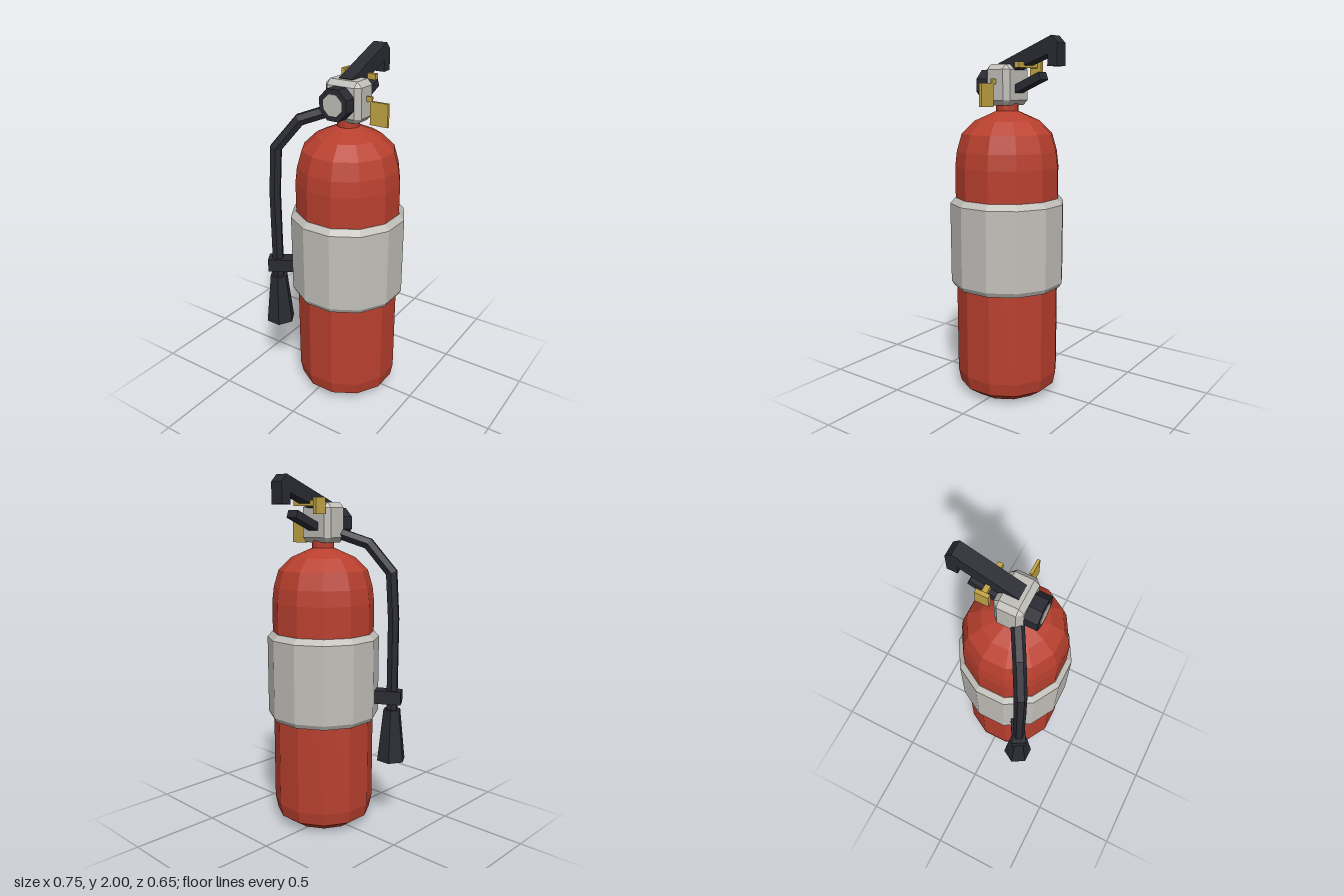
import * as THREE from 'three';
import { ConvexGeometry } from 'three/addons/geometries/ConvexGeometry.js';

const CX = 0.06, CZ = 0.016; // axis of the cylinder

const material = (name, color) => {
  const m = new THREE.MeshStandardMaterial({ color, flatShading: true });
  m.name = name;
  return m;
};

// Twelve-sided lathe; radii are measured to the flats
function lathe12(profile) {
  const k = 1 / Math.cos(Math.PI / 12);
  const g = new THREE.LatheGeometry(profile.map(([r, y]) => new THREE.Vector2(r * k, y)), 12);
  return g.rotateY(Math.PI / 12);
}

// Box given by its two extremes
function box(x0, x1, y0, y1, z0, z1) {
  return new THREE.BoxGeometry(x1 - x0, y1 - y0, z1 - z0)
    .translate((x0 + x1) / 2, (y0 + y1) / 2, (z0 + z1) / 2);
}

// Box with every edge cut by c
function chamferBox(w, h, d, c) {
  const pts = [];
  for (const x of [-1, 1]) for (const y of [-1, 1]) for (const z of [-1, 1]) {
    const a = x * w / 2, b = y * h / 2, e = z * d / 2;
    pts.push(new THREE.Vector3(a, b - y * c, e - z * c),
      new THREE.Vector3(a - x * c, b, e - z * c),
      new THREE.Vector3(a - x * c, b - y * c, e));
  }
  return new ConvexGeometry(pts);
}

// Side profile of [z, y] points extruded across x
function sideExtrude(points, x0, x1) {
  const shape = new THREE.Shape(points.map(([z, y]) => new THREE.Vector2(-z, y)));
  return new THREE.ExtrudeGeometry(shape, { depth: x1 - x0, bevelEnabled: false })
    .rotateY(Math.PI / 2).translate(x0, 0, 0);
}

// Eight-sided disc facing +z, flats up and to the sides
function octagon(apothem, depth) {
  const r = apothem / Math.cos(Math.PI / 8);
  return new THREE.CylinderGeometry(r, r, depth, 8).rotateY(Math.PI / 8).rotateX(Math.PI / 2);
}

// Six-sided hose along straight runs in the xy plane, mitred at the bends
function hose(path, radius) {
  const pts = path.map(([x, y]) => new THREE.Vector2(x, y));
  const pos = [], index = [], N = 6;
  pts.forEach((p, i) => {
    const a = p.clone().sub(pts[Math.max(i - 1, 0)]).normalize();
    const b = pts[Math.min(i + 1, pts.length - 1)].clone().sub(p).normalize();
    const t = a.clone().add(b).normalize();
    const seg = i === 0 ? b : a;
    const stretch = radius / t.dot(seg);
    for (let j = 0; j < N; j++) {
      const s = Math.sin(j * Math.PI / 3) * stretch;
      pos.push(p.x - t.y * s, p.y + t.x * s, Math.cos(j * Math.PI / 3) * radius);
      if (i > 0) {
        const k = (j + 1) % N, u = (i - 1) * N, v = i * N;
        index.push(u + j, v + j, u + k, u + k, v + j, v + k);
      }
    }
  });
  const g = new THREE.BufferGeometry();
  g.setAttribute('position', new THREE.Float32BufferAttribute(pos, 3));
  g.setIndex(index);
  const flat = g.toNonIndexed();
  flat.computeVertexNormals();
  return flat;
}

export function createModel() {
  const red = material('red paint', 0xb9402f);
  const grey = material('light grey', 0xc2c0ba);
  const dark = material('dark rubber', 0x2a2a33);
  const gold = material('brass', 0xc4a646);
  dark.side = THREE.DoubleSide;

  const model = new THREE.Group();
  model.name = 'fireExtinguisher';
  const add = (name, geometry, mat, parent = model) => {
    const mesh = new THREE.Mesh(geometry, mat);
    mesh.name = name;
    parent.add(mesh);
    return mesh;
  };

  // Tank with rounded shoulder and neck
  add('tank', lathe12([
    [0, 0], [0.197, 0], [0.268, 0.052], [0.282, 0.125], [0.282, 1.31],
    [0.272, 1.395], [0.245, 1.49], [0.174, 1.56], [0.06, 1.612], [0.06, 1.68], [0, 1.68],
  ]), red).position.set(CX, 0, CZ);

  // Label band
  add('labelBand', lathe12([
    [0.28, 0.634], [0.298, 0.634], [0.312, 0.66], [0.312, 1.106], [0.284, 1.138], [0.28, 1.138],
  ]), grey).position.set(CX, 0, CZ);

  // Valve block
  add('valve', chamferBox(0.22, 0.218, 0.156, 0.028), grey).position.set(CX, 1.751, CZ);

  // Pressure gauge
  add('gaugeBody', octagon(0.082, 0.08), dark).position.set(CX, 1.75, 0.125);
  add('gaugeFace', octagon(0.055, 0.004), grey).position.set(CX, 1.75, 0.166);

  // Handles
  add('upperLever', sideExtrude([
    [0.047, 1.864], [0.02, 1.8], [-0.268, 1.905], [-0.268, 1.846],
    [-0.327, 1.846], [-0.327, 1.962], [-0.29, 2.0],
  ], 0.02, 0.102), dark);
  add('lowerHandle', sideExtrude([
    [-0.02, 1.735], [-0.02, 1.69], [-0.226, 1.778], [-0.211, 1.818],
  ], 0.024, 0.098), dark);

  // Safety pin
  add('pinRod', box(-0.03, 0.15, 1.84, 1.87, -0.124, -0.097), gold);
  add('pinHead', box(-0.047, -0.025, 1.797, 1.885, -0.147, -0.075), gold);

  // Inspection tag
  add('tagLink', box(0.155, 0.205, 1.755, 1.783, 0.011, 0.021), gold);
  add('tag', box(0.195, 0.3, 1.637, 1.76, 0.008, 0.024), gold);

  // Hose assembly, laid out along its own x axis away from the tank
  const arm = new THREE.Group();
  arm.name = 'hoseAssembly';
  arm.position.set(CX, 0, CZ);
  arm.rotation.y = Math.PI * 7 / 6;
  model.add(arm);
  add('hose', hose([
    [0.03, 1.7], [0.1, 1.69], [0.26, 1.637], [0.392, 1.48], [0.408, 1.22], [0.408, 0.68],
  ], 0.034), dark, arm);
  add('hoseClip', box(0.3, 0.462, 0.731, 0.808, -0.04, 0.04), dark, arm);
  add('nozzle', new THREE.CylinderGeometry(0.052, 0.086, 0.305, 6), dark, arm)
    .position.set(0.408, 0.543, 0);

  return model;
}
